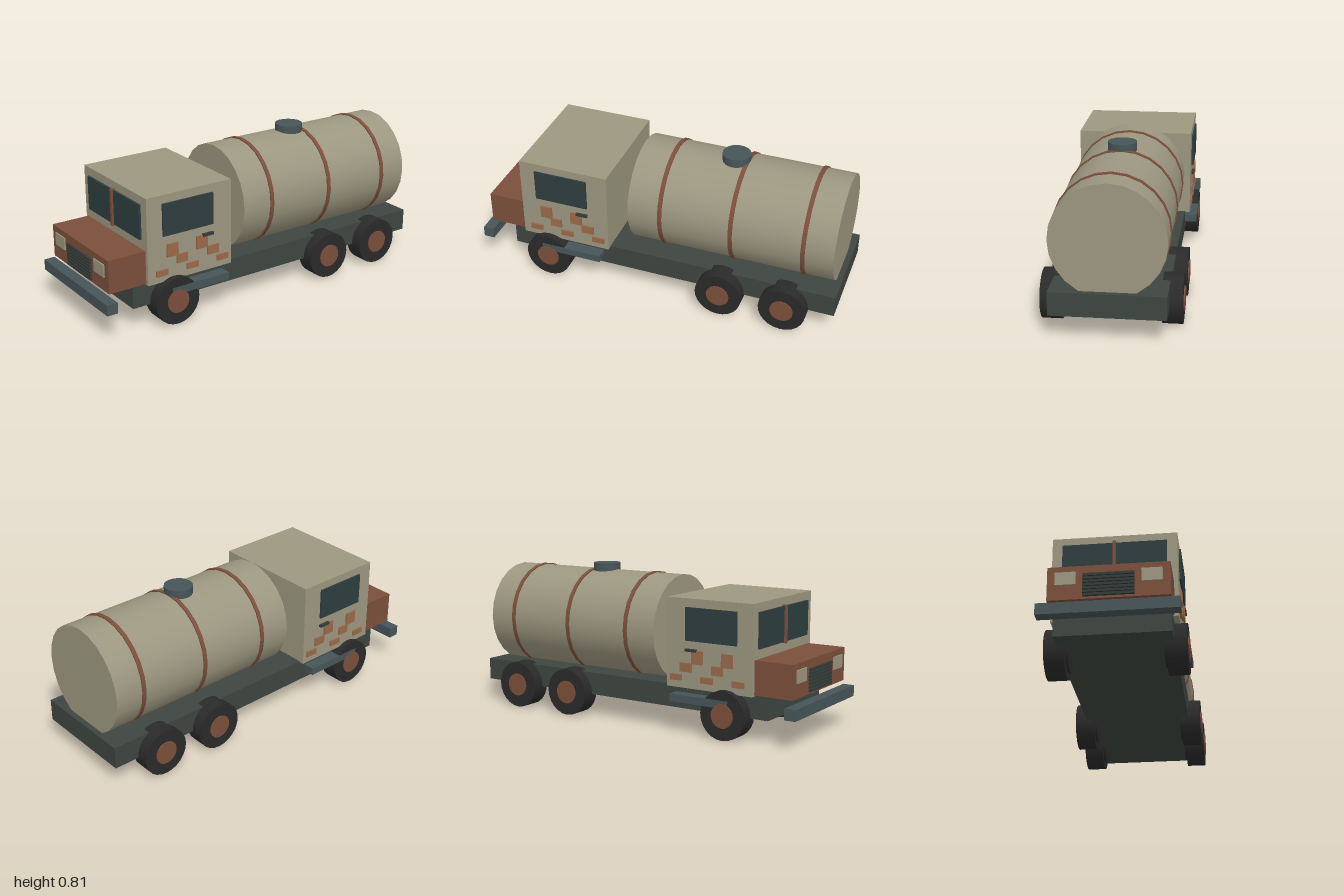
import * as THREE from 'three';

const mat = (color) => new THREE.MeshStandardMaterial({ color });

export function createModel() {
  const truck = new THREE.Group();
  truck.name = 'tankerTruck';

  const tan = mat(0x9c9780), rust = mat(0x7b4f3b), patchRust = mat(0x9a6a4b);
  const glass = mat(0x2e3d3f), steel = mat(0x475558), frame = mat(0x3e4540);
  const rubber = mat(0x2a2a2a), trim = mat(0x333b39);

  const add = (name, geometry, material, x = 0, y = 0, z = 0) => {
    const mesh = new THREE.Mesh(geometry, material);
    mesh.name = name;
    mesh.position.set(x, y, z);
    truck.add(mesh);
    return mesh;
  };
  // Box given by its low and high limits on each axis
  const box = (name, material, [x0, x1], [y0, y1], [z0, z1]) =>
    add(name, new THREE.BoxGeometry(x1 - x0, y1 - y0, z1 - z0), material,
      (x0 + x1) / 2, (y0 + y1) / 2, (z0 + z1) / 2);
  // The same box on one side of the truck
  const sideBox = (name, material, side, [x0, x1], ys, zs) =>
    box(name, material, side > 0 ? [x0, x1] : [-x1, -x0], ys, zs);
  const cylX = (r, w, n) => new THREE.CylinderGeometry(r, r, w, n).rotateZ(Math.PI / 2);
  const cylZ = (r, w, n) => new THREE.CylinderGeometry(r, r, w, n).rotateX(Math.PI / 2);

  // Chassis and bumper
  box('chassis', frame, [-0.285, 0.285], [0.12, 0.24], [-1, 0.825]);
  box('bumper', steel, [-0.338, 0.338], [0.152, 0.21], [0.94, 1]);

  // Cab and hood
  box('cab', tan, [-0.312, 0.312], [0.235, 0.697], [0.25, 0.75]);
  box('hood', rust, [-0.292, 0.292], [0.241, 0.417], [0.75, 0.96]);
  box('windshield', glass, [-0.26, 0.26], [0.468, 0.652], [0.74, 0.762]);
  box('windshieldDivider', rust, [-0.008, 0.008], [0.462, 0.658], [0.74, 0.773]);

  // Grille
  for (let i = 0; i < 7; i++) {
    const y = 0.26 + i * 0.0175;
    box('grilleBar', trim, [-0.122, 0.122], [y - 0.0065, y + 0.0065], [0.955, 0.972]);
  }

  // Rust patches on the doors: z range, y range
  const high = [0.365, 0.435], middle = [0.32, 0.367], low = [0.272, 0.304];
  const patches = [
    [[0.575, 0.64], high], [[0.52, 0.583], middle], [[0.637, 0.705], low],
    [[0.455, 0.524], low], [[0.4, 0.465], high], [[0.332, 0.4], middle],
    [[0.273, 0.342], low],
  ];

  for (const side of [1, -1]) {
    sideBox('headlight', tan, side, [0.155, 0.255], [0.318, 0.385], [0.95, 0.967]);
    sideBox('sideWindow', glass, side, [0.3, 0.322], [0.482, 0.653], [0.365, 0.662]);
    sideBox('doorHandle', trim, side, [0.3, 0.327], [0.427, 0.441], [0.365, 0.43]);
    sideBox('step', steel, side, [0.27, 0.35], [0.165, 0.205], [0.29, 0.63]);
    for (const [zs, ys] of patches) sideBox('rustPatch', patchRust, side, [0.3, 0.322], ys, zs);

    // Wheels: tyre, inner drum and outer hub
    for (const z of [0.6, -0.385, -0.735]) {
      add('tyre', cylX(0.127, 0.101, 24), rubber, side * 0.2975, 0.127, z);
      add('wheelDrum', cylX(0.09, 0.03, 16), rubber, side * 0.25, 0.127, z);
      add('hub', cylX(0.0625, 0.03, 20), rust, side * 0.339, 0.127, z);
    }
  }

  // Tank with straps and filler hatch
  add('tank', cylZ(0.285, 1.115, 24), tan, 0, 0.49, -0.4125);
  for (const z of [-0.035, -0.422, -0.808]) {
    add('tankStrap', cylZ(0.291, 0.022, 24), rust, 0, 0.49, z);
  }
  add('hatch', new THREE.CylinderGeometry(0.075, 0.075, 0.05, 20), steel, 0, 0.785, -0.36);

  return truck;
}
